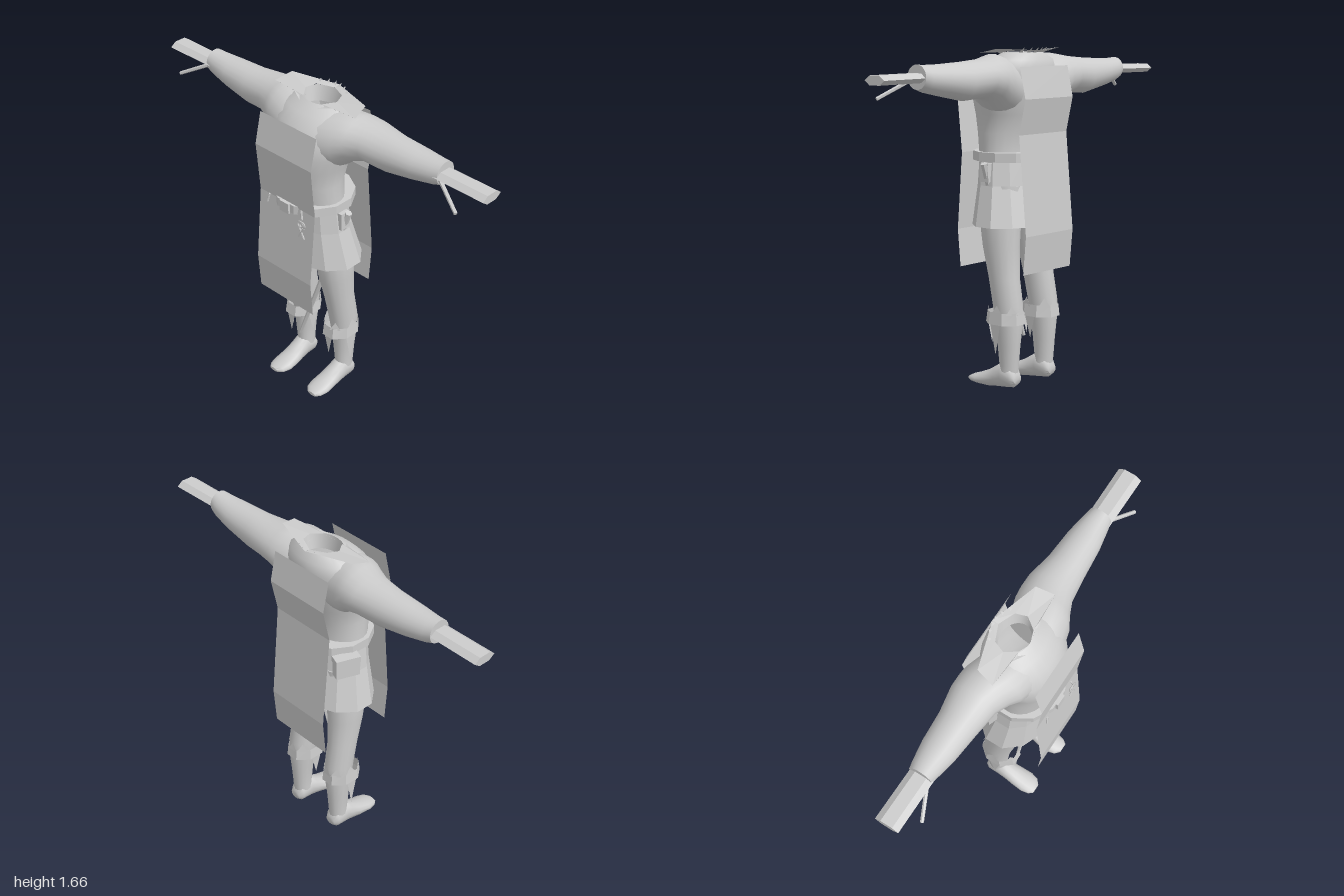
import * as THREE from 'three';
import { toCreasedNormals } from 'three/addons/utils/BufferGeometryUtils.js';

export function createModel() {
  const model = new THREE.Group();
  const grey = new THREE.MeshStandardMaterial({ color: 0xcccccc, side: THREE.DoubleSide });
  grey.name = 'light grey';

  const add = (name, geometry) => {
    const mesh = new THREE.Mesh(geometry, grey);
    mesh.name = name;
    model.add(mesh);
    return mesh;
  };
  const build = (positions, index, crease) => {
    const g = new THREE.BufferGeometry();
    g.setAttribute('position', new THREE.Float32BufferAttribute(positions, 3));
    g.setIndex(index);
    return toCreasedNormals(g, crease);
  };
  // Elliptical rings along an axis; row = [t, aMin, aMax, bMin, bMax]
  const place = {
    y: (t, a, b) => [b, t, a], // a = z, b = x
    x: (t, a, b) => [t, a, b], // a = y, b = z
    z: (t, a, b) => [a, b, t], // a = x, b = y
  };
  const loft = (axis, rows, sides = 20, crease = 1.0, closed = true) => {
    const all = [...rows];
    if (closed) {
      const point = ([t, a, A, b, B]) => [t, (a + A) / 2, (a + A) / 2, (b + B) / 2, (b + B) / 2];
      all.unshift(point(rows[0]));
      all.push(point(rows[rows.length - 1]));
    }
    const pos = [], idx = [];
    all.forEach(([t, a, A, b, B], r) => {
      for (let i = 0; i < sides; i++) {
        const q = ((i + 0.5) / sides) * Math.PI * 2;
        pos.push(...place[axis](t, (a + A) / 2 + ((A - a) / 2) * Math.cos(q), (b + B) / 2 + ((B - b) / 2) * Math.sin(q)));
        if (r === all.length - 1) continue;
        const j = (i + 1) % sides, p = r * sides, n = p + sides;
        idx.push(p + i, p + j, n + j, p + i, n + j, n + i);
      }
    });
    return build(pos, idx, crease);
  };
  // Strip of quads between two rows of points
  const strip = (top, bottom) => {
    const idx = [];
    for (let i = 0, n = top.length; i < n - 1; i++) idx.push(i, n + i, n + i + 1, i, n + i + 1, i + 1);
    return build([...top, ...bottom].flat(), idx, 0.01);
  };
  const rod = (name, from, to, r0, r1, sides = 6) => {
    const a = new THREE.Vector3(...from), b = new THREE.Vector3(...to);
    const m = add(name, toCreasedNormals(new THREE.CylinderGeometry(r1, r0, a.distanceTo(b), sides), 0.5));
    m.position.copy(a).lerp(b, 0.5);
    m.quaternion.setFromUnitVectors(new THREE.Vector3(0, 1, 0), b.sub(a).normalize());
    return m;
  };

  // Torso, open at the neck
  add('torso', loft('y', [
    [0.98, -0.11, 0.13, -0.18, 0.18], [1.16, -0.11, 0.155, -0.18, 0.18],
    [1.25, -0.115, 0.17, -0.175, 0.175], [1.34, -0.15, 0.187, -0.185, 0.185],
    [1.42, -0.167, 0.19, -0.215, 0.215], [1.49, -0.178, 0.175, -0.225, 0.225],
    [1.55, -0.18, 0.14, -0.22, 0.22], [1.6, -0.17, 0.09, -0.19, 0.19],
    [1.635, -0.14, 0.03, -0.11, 0.11], [1.56, -0.12, 0.02, -0.09, 0.09],
  ], 24, 1.2, false));

  // Skirt and belt
  add('skirt', loft('y', [
    [0.805, -0.195, 0.165, -0.26, 0.26], [1.0, -0.14, 0.15, -0.21, 0.21], [1.15, -0.12, 0.145, -0.19, 0.19],
  ], 12, 0.01, false));
  const beltRows = [[1.115, -0.19, 0.2, -0.205, 0.205], [1.16, -0.19, 0.2, -0.205, 0.205]];
  add('belt', loft('y', beltRows, 12, 0.01));
  add('buckle', new THREE.BoxGeometry(0.06, 0.055, 0.012)).position.set(0, 1.137, 0.2);

  // Front and back tabard panels, folded sheets
  const panel = (name, profile) => add(name, strip(
    profile.map(([y, z]) => [-0.18, y, z]), profile.map(([y, z]) => [0.18, y, z])));
  panel('frontPanel', [[1.57, 0.172], [1.41, 0.208], [1.15, 0.182], [0.77, 0.212], [0.585, 0.195]]);
  panel('backPanel', [[1.57, -0.185], [1.42, -0.218], [1.25, -0.18], [0.77, -0.222], [0.585, -0.205]]);

  // Shears hanging from the belt
  for (const s of [-1, 1]) {
    const loop = add('shearsLoop', new THREE.TorusGeometry(0.017, 0.004, 5, 10));
    loop.position.set(0.11 + s * 0.006, 1.085, 0.2);
    rod('shearsBlade', [0.11 + s * 0.014, 1.07, 0.2], [0.11 - s * 0.018, 1.01, 0.2], 0.005, 0.004);
    rod('beltLoop', [s * 0.105, 1.16, 0.195], [s * 0.115, 1.115, 0.2], 0.005, 0.005);
  }

  // Pouch, scabbard and its hanger
  const pouch = add('pouch', new THREE.BoxGeometry(0.05, 0.1, 0.12));
  pouch.position.set(-0.2, 1.07, -0.09);
  pouch.rotation.y = -0.35;
  add('pouchFlap', new THREE.BoxGeometry(0.058, 0.03, 0.125)).position.set(-0.2, 1.11, -0.09);
  model.children[model.children.length - 1].rotation.y = -0.35;
  add('hanger', new THREE.BoxGeometry(0.03, 0.09, 0.055)).position.set(0.2, 1.065, 0.01);
  rod('scabbard', [0.225, 1.11, 0.0], [-0.088, 0.22, 0.012], 0.018, 0.009);

  for (const s of [-1, 1]) {
    const span = (t, a, A, lo, hi) => (s > 0 ? [t, a, A, lo, hi] : [t, a, A, -hi, -lo]);
    // Sleeve
    add('sleeve', loft('x', [
      [0.1, 1.33, 1.61, -0.15, 0.14], [0.2, 1.365, 1.63, -0.175, 0.115],
      [0.25, 1.405, 1.622, -0.178, 0.085], [0.32, 1.428, 1.61, -0.177, 0.055],
      [0.45, 1.42, 1.6, -0.155, 0.037], [0.6, 1.448, 1.593, -0.143, 0.025],
      [0.7, 1.468, 1.592, -0.125, 0.008], [0.74, 1.482, 1.595, -0.115, 0.0],
    ].map(([x, ...r]) => [s * x, ...r])));
    // Flat hexagonal hand and thumb
    add('hand', loft('x', [[s * 0.7, 1.51, 1.56, -0.112, 0.005], [s, 1.508, 1.558, -0.115, 0.005]], 6, 0.01));
    rod('thumb', [s * 0.74, 1.525, -0.02], [s * 0.89, 1.445, 0.045], 0.01, 0.009);

    // Leg
    add('leg', loft('y', [
      [0.06, -0.125, -0.02, 0.09, 0.178], [0.12, -0.13, -0.03, 0.092, 0.178],
      [0.22, -0.138, -0.02, 0.085, 0.185], [0.32, -0.148, -0.01, 0.073, 0.195],
      [0.42, -0.148, 0.008, 0.065, 0.2], [0.55, -0.125, 0.035, 0.06, 0.2],
      [0.7, -0.118, 0.072, 0.045, 0.208], [0.82, -0.12, 0.092, 0.03, 0.212],
      [1.0, -0.12, 0.1, 0.0, 0.19],
    ].map((r) => span(...r)), 16));
    // Foot, pointed at the toe
    add('foot', loft('z', [
      [-0.132, 0.105, 0.165, 0.035, 0.08], [-0.11, 0.09, 0.18, 0.015, 0.12],
      [-0.05, 0.088, 0.182, 0.008, 0.14], [-0.01, 0.085, 0.182, 0.005, 0.115],
      [0.04, 0.078, 0.186, 0.0, 0.085], [0.1, 0.074, 0.19, 0.003, 0.06],
      [0.14, 0.085, 0.182, 0.01, 0.048], [0.162, 0.11, 0.165, 0.018, 0.036],
    ].map(([z, a, A, lo, hi]) => (s > 0 ? [z, a, A, lo, hi] : [z, -A, -a, lo, hi])), 14));
    // Boot cuff with ragged points
    add('bootCuff', loft('y', [
      span(0.33, -0.162, 0.05, 0.045, 0.22), span(0.39, -0.155, 0.04, 0.05, 0.215),
    ], 8, 0.01, false));
    const tatter = (ang, y, drop) => {
      const at = (q, h, k) => [s * (0.132 + 0.08 * k * Math.sin(q)), h, -0.058 + 0.1 * k * Math.cos(q)];
      add('bootTatter', build([...at(ang - 0.35, y, 1), ...at(ang + 0.35, y, 1), ...at(ang, y + drop, 0.9)], [0, 1, 2], 0.01));
    };
    tatter(0, 0.34, -0.12);
    tatter(1.5, 0.34, -0.16);
    tatter(-1.5, 0.34, -0.12);
    for (const q of [0.5, 1.6, 2.5, 3.2, 3.9, -1.2]) tatter(q, 0.38, 0.045);

    // Ragged collar half
    const mirror = ([x, y, z]) => [s * x, y, z];
    add('collar', strip(
      [[0, 1.615, 0.03], [0.06, 1.635, 0.01], [0.1, 1.64, -0.045], [0.08, 1.645, -0.1], [0, 1.64, -0.135]].map(mirror),
      [[0, 1.612, 0.068], [0.12, 1.638, 0.01], [0.255, 1.635, 0.0], [0.235, 1.655, -0.09], [0, 1.645, -0.165]].map(mirror)));
    for (const [x, z] of [[0.015, -0.14], [0.05, -0.13], [0.085, -0.11]]) {
      add('collarTatter', build([s * (x - 0.015), 1.635, z, s * (x + 0.015), 1.635, z, s * x, 1.66, z - 0.025], [0, 1, 2], 0.01));
    }
  }
  return model;
}
